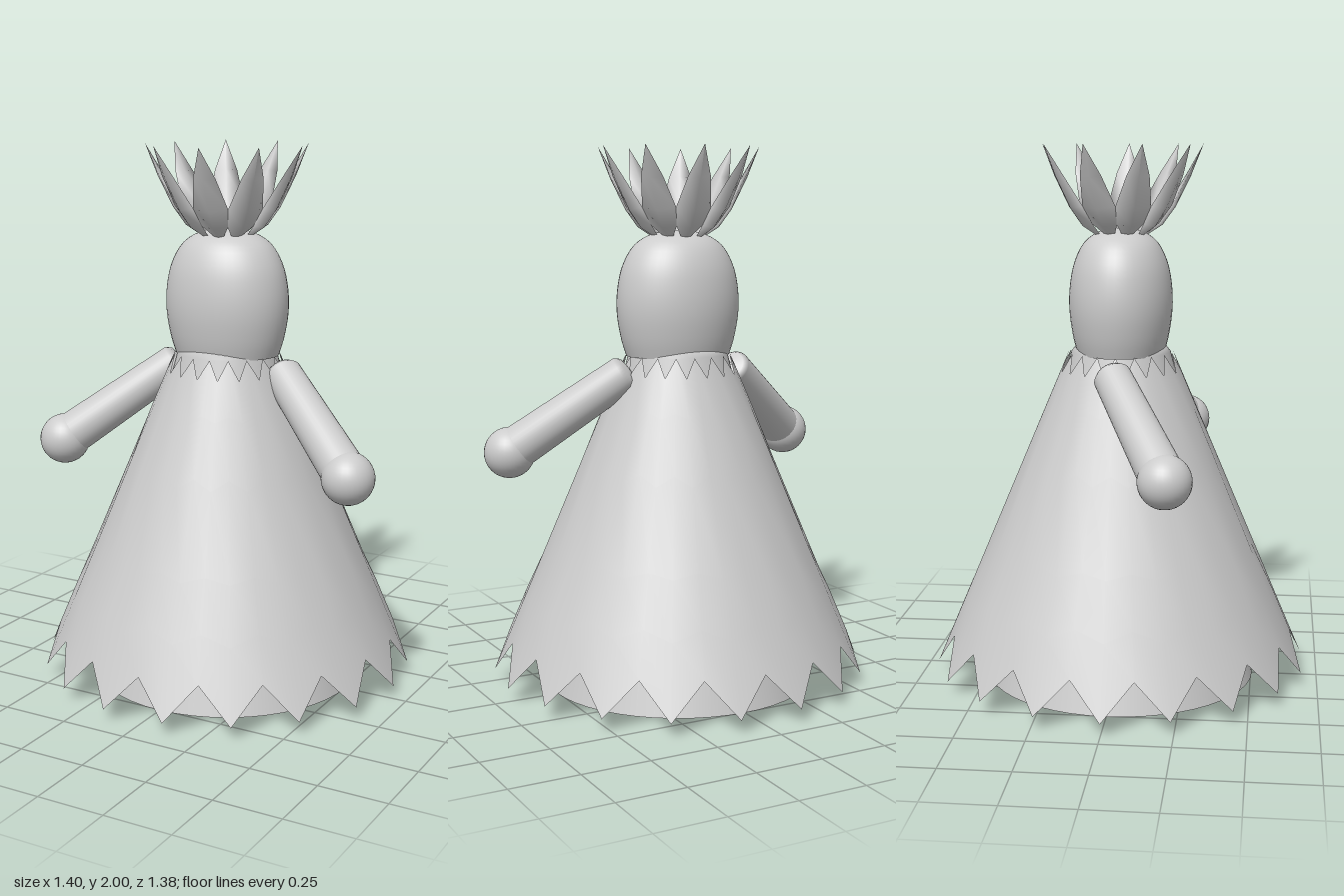
import * as THREE from 'three';

const straw = new THREE.MeshStandardMaterial({ color: 0xcccccc, side: THREE.DoubleSide });
straw.name = 'plain grey';

function add(parent, name, geometry) {
  const mesh = new THREE.Mesh(geometry, straw);
  mesh.name = name;
  parent.add(mesh);
  return mesh;
}

// Skins closed rings of points, listed from top to bottom
function loft(rows) {
  const n = rows[0].length, index = [];
  for (let i = 0; i < rows.length - 1; i++) {
    for (let j = 0; j < n; j++) {
      const a = i * n + j, b = i * n + (j + 1) % n;
      index.push(a, b, a + n, b, b + n, a + n);
    }
  }
  const g = new THREE.BufferGeometry();
  g.setAttribute('position', new THREE.Float32BufferAttribute(rows.flat(2), 3));
  g.setIndex(index);
  g.computeVertexNormals();
  return g;
}

function lathe(points, segments = 48) {
  return new THREE.LatheGeometry(points.map(([r, y]) => new THREE.Vector2(r, y)), segments);
}

// Pleated skirt with pointed hem and collar: [tip y, valley y, valley inset]
function skirtGeometry() {
  const levels = [[1.24, 1.17, 0], [1.05, 1.03, 0], [0.84, 0.8, 0.008], [0.5, 0.52, 0.008], [0.3, 0.34, 0], [0.05, 0.18, 0]];
  return loft(levels.map(([tip, valley, inset]) => Array.from({ length: 36 }, (_, j) => {
    const odd = j % 2, y = odd ? valley : tip, a = j * Math.PI / 18;
    const r = 0.195 + (1.24 - y) * 0.424 - odd * inset;
    return [r * Math.cos(a), y, r * Math.sin(a)];
  })));
}

// Keeled leaf: [radius, height, half width, half thickness]
function leafGeometry() {
  const stations = [[0.303, 2, 0, 0], [0.245, 1.89, 0.042, 0.012], [0.18, 1.78, 0.066, 0.02],
    [0.135, 1.715, 0.05, 0.018], [0.065, 1.65, 0, 0]];
  return loft(stations.map(([r, y, w, t]) => [
    [r + t, y - t * 0.5, 0], [r, y, w], [r - t * 0.3, y + t * 0.15, 0], [r, y, -w],
  ]));
}

export function createModel() {
  const model = new THREE.Group();
  model.name = 'strawDoll';

  // Solid core and the skirt over it
  add(model, 'body', lathe([[0, 0], [0.505, 0], [0.505, 0], [0.185, 1.24], [0.165, 1.265], [0, 1.28]]));
  add(model, 'skirt', skirtGeometry());

  // Head, narrower from front to back, flat beneath
  const curve = new THREE.SplineCurve([[0.2, 1.235], [0.22, 1.3], [0.235, 1.39], [0.233, 1.48],
    [0.212, 1.57], [0.165, 1.645], [0.09, 1.685], [0, 1.695]].map(([r, y]) => new THREE.Vector2(r, y)));
  const head = new THREE.Group();
  head.name = 'head';
  head.scale.z = 0.81;
  add(head, 'skull', new THREE.LatheGeometry(curve.getPoints(24), 48));
  add(head, 'headBase', lathe([[0, 1.235], [0.2, 1.235]]));
  model.add(head);

  // Crown of nine leaves
  const crown = new THREE.Group();
  crown.name = 'crown';
  const leaf = leafGeometry();
  for (let i = 0; i < 9; i++) add(crown, 'leaf', leaf).rotation.y = -i * Math.PI * 2 / 9;
  model.add(crown);

  // Arms and hands
  for (const side of [1, -1]) {
    const arm = new THREE.Group();
    arm.name = side > 0 ? 'leftArm' : 'rightArm';
    const shoulder = new THREE.Vector3(side * 0.215, 1.185, -0.015);
    const wrist = new THREE.Vector3(side * 0.595, 0.88, 0.21);
    const dir = wrist.clone().sub(shoulder);
    const length = dir.length();
    const sleeve = add(arm, 'sleeve', lathe([[0, length], [0.082, length], [0.082, length],
      [0.07, 0.02], [0.055, 0], [0, -0.01]].reverse(), 32));
    sleeve.position.copy(shoulder);
    sleeve.quaternion.setFromUnitVectors(new THREE.Vector3(0, 1, 0), dir.normalize());
    add(arm, 'hand', new THREE.SphereGeometry(0.095, 32, 20)).position.copy(wrist);
    model.add(arm);
  }
  return model;
}
